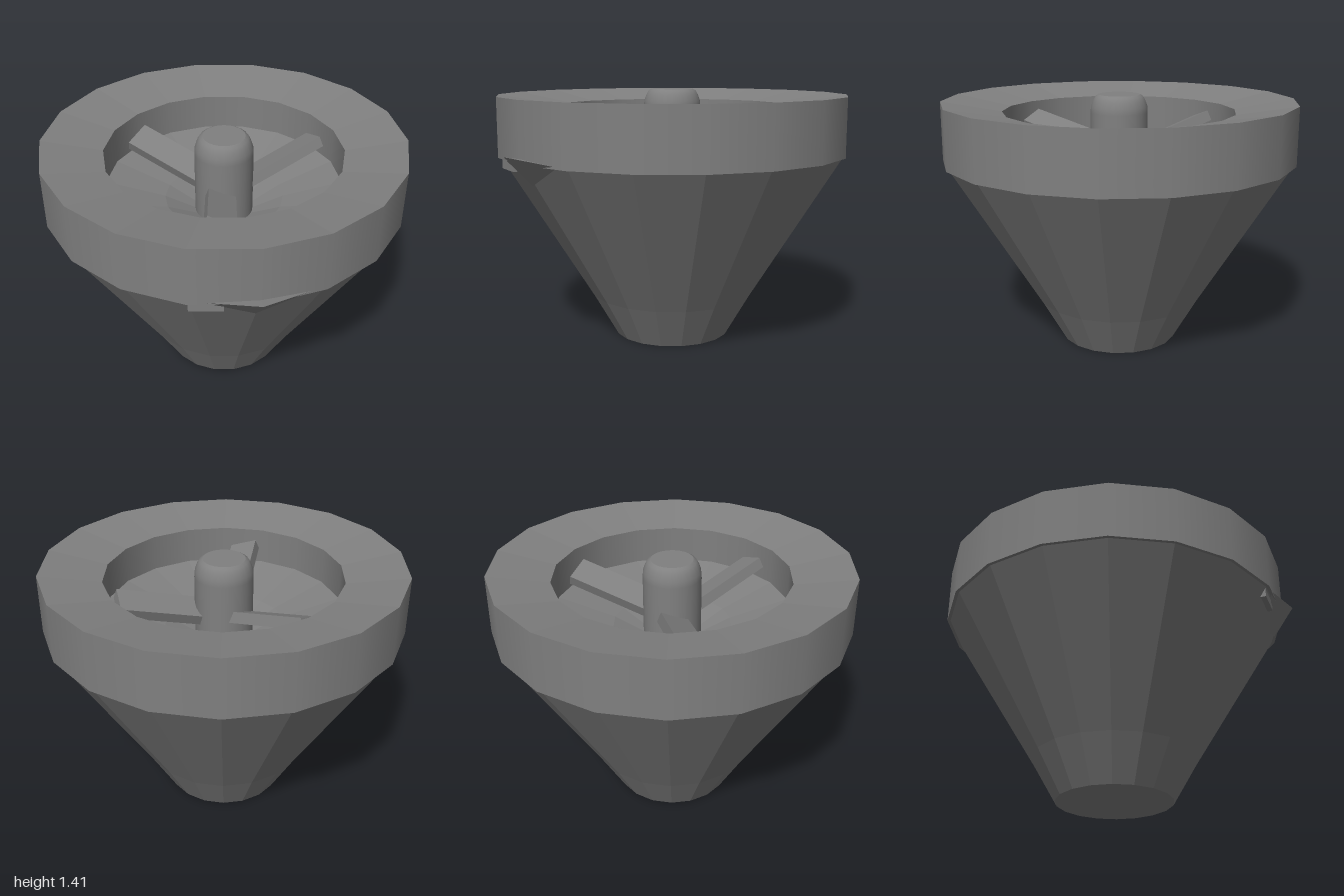
import * as THREE from 'three';

const SIDES = 18;
const START = Math.PI / 18;

export function createModel() {
  const model = new THREE.Group();
  model.name = 'funnelTurbine';
  const grey = new THREE.MeshStandardMaterial({ color: 0x808080 });
  grey.name = 'mid grey';

  // All turned parts share one axis, slightly behind the centre
  const body = new THREE.Group();
  body.name = 'body';
  body.position.z = -0.03;
  model.add(body);

  const add = (parent, name, geometry) => {
    const mesh = new THREE.Mesh(geometry, grey);
    mesh.name = name;
    parent.add(mesh);
    return mesh;
  };
  const facet = (geometry) => {
    const g = geometry.index ? geometry.toNonIndexed() : geometry;
    g.computeVertexNormals();
    return g;
  };
  // Turned band: the profile runs so that its outside is on the right
  const turn = (points, sides = SIDES, start = START) =>
    new THREE.LatheGeometry(points.map(([r, y]) => new THREE.Vector2(r, y)), sides, start);

  // Outer shell
  add(body, 'baseRecess', facet(turn([[0, 0.2], [0.327, 0]])));
  add(body, 'cone', facet(turn([[0.327, 0], [0.465, 0.24], [0.97, 1.06]])));
  add(body, 'rimUnderside', facet(turn([[0.96, 1.055], [0.985, 1.055]])));
  add(body, 'rimWall', turn([[0.985, 1.055], [0.985, 1.378]]));

  // Inside of the bowl
  add(body, 'rimTop', facet(turn([[0.985, 1.378], [0.65, 1.32]])));
  add(body, 'innerWall', turn([[0.65, 1.32], [0.65, 1.12]]));
  add(body, 'bowlFloor', facet(turn([[0.65, 1.12], [0.327, 1.03]])));
  add(body, 'bowlCentre', facet(turn([[0.327, 1.03], [0, 0.88]])));

  // Round hub with a softened top
  const hub = new THREE.Group();
  hub.name = 'hub';
  body.add(hub);
  add(hub, 'hubBody', turn([
    [0.16, 0.9], [0.16, 1.31], [0.157, 1.345], [0.145, 1.378], [0.132, 1.4], [0.115, 1.41],
  ], 24, 0));
  add(hub, 'hubTop', turn([[0.115, 1.41], [0, 1.41]], 24, 0));

  // Three blades, each rising outward and rolled to one side
  for (let i = 0; i < 3; i++) {
    const spoke = new THREE.Group();
    spoke.name = 'blade' + (i + 1);
    spoke.rotation.y = (i * Math.PI * 2) / 3;
    const blade = add(spoke, 'bladeSlab', new THREE.BoxGeometry(0.155, 0.06, 0.52));
    blade.position.set(-0.018, 1.165, 0.335);
    blade.rotation.set(-0.26, 0, -0.33);
    body.add(spoke);
  }

  // Small pointed lip under the front of the rim
  const left = [-0.1, 1.065, 0.935], tip = [0.18, 1.095, 1.0];
  const right = [0.43, 1.065, 0.84], low = [0.15, 0.94, 0.865], back = [0.15, 1.07, 0.85];
  const lip = new THREE.BufferGeometry();
  lip.setAttribute('position', new THREE.Float32BufferAttribute([
    left, low, tip, low, right, tip, left, tip, back, tip, right, back,
  ].flat(), 3));
  add(model, 'frontLip', facet(lip));

  // Small tab beside the lip
  const tab = add(model, 'frontTab', new THREE.BoxGeometry(0.17, 0.06, 0.04));
  tab.position.set(-0.085, 1.028, 0.897);

  return model;
}
